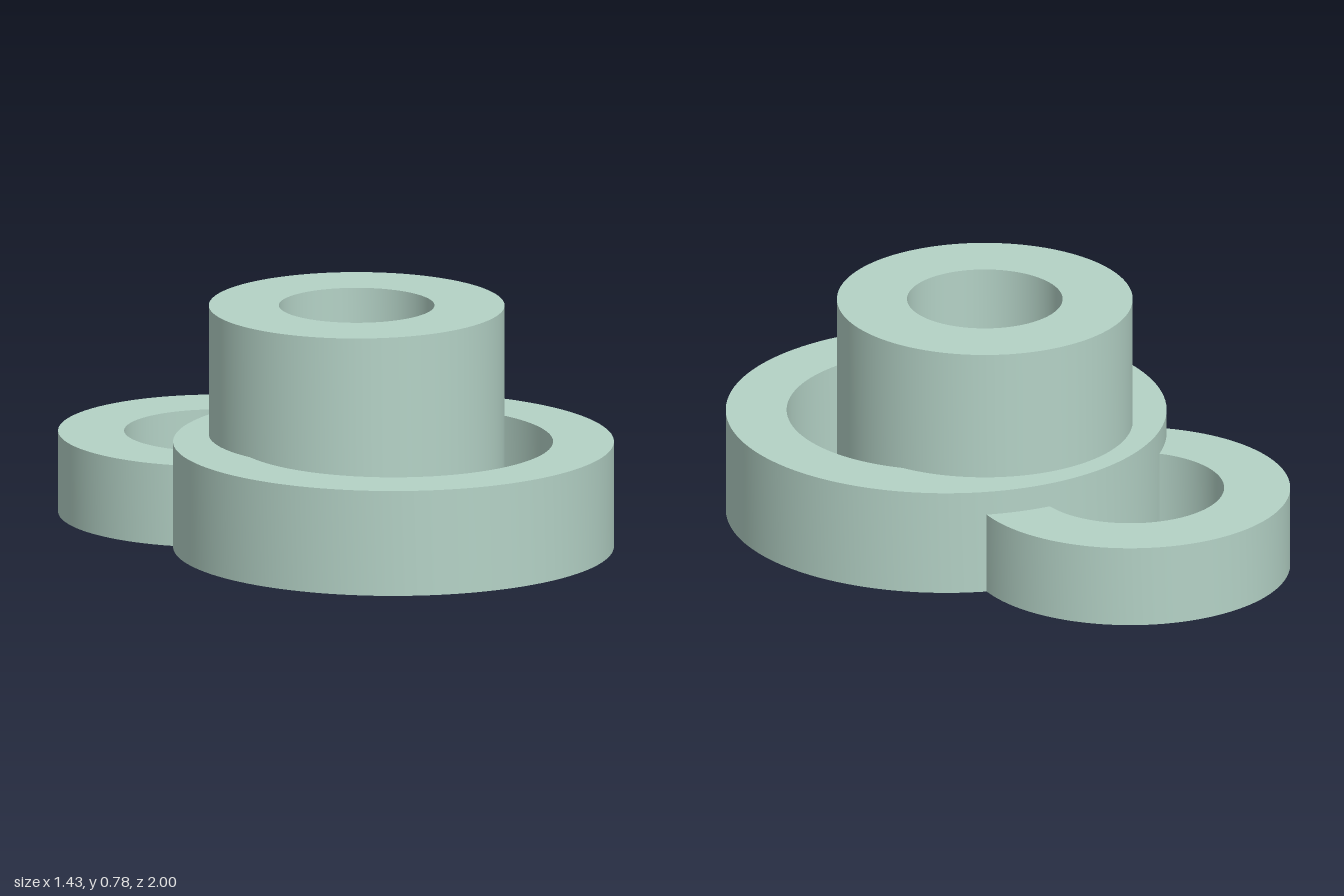
import * as THREE from 'three';
import { toCreasedNormals } from 'three/addons/utils/BufferGeometryUtils.js';

const material = new THREE.MeshStandardMaterial({ color: 0xb4d2c6 });

// Upright ring standing on y = 0, with crisp rims and smooth walls
function ring(name, outer, inner, height, z) {
  const profile = [
    [inner, 0], [outer, 0], [outer, height], [inner, height], [inner, 0],
  ].map(([x, y]) => new THREE.Vector2(x, y));
  const geometry = toCreasedNormals(new THREE.LatheGeometry(profile, 128), 0.6);
  const mesh = new THREE.Mesh(geometry, material);
  mesh.name = name;
  mesh.position.z = z;
  return mesh;
}

export function createModel() {
  const group = new THREE.Group();
  group.name = 'interlockedRings';
  group.add(
    ring('baseRing', 0.717, 0.519, 0.35, 0.283), // wide low ring at the front
    ring('tallSleeve', 0.481, 0.253, 0.78, 0.123), // tall thick tube in the middle
    ring('rearRing', 0.521, 0.306, 0.27, -0.479), // low ring at the back
  );
  return group;
}
